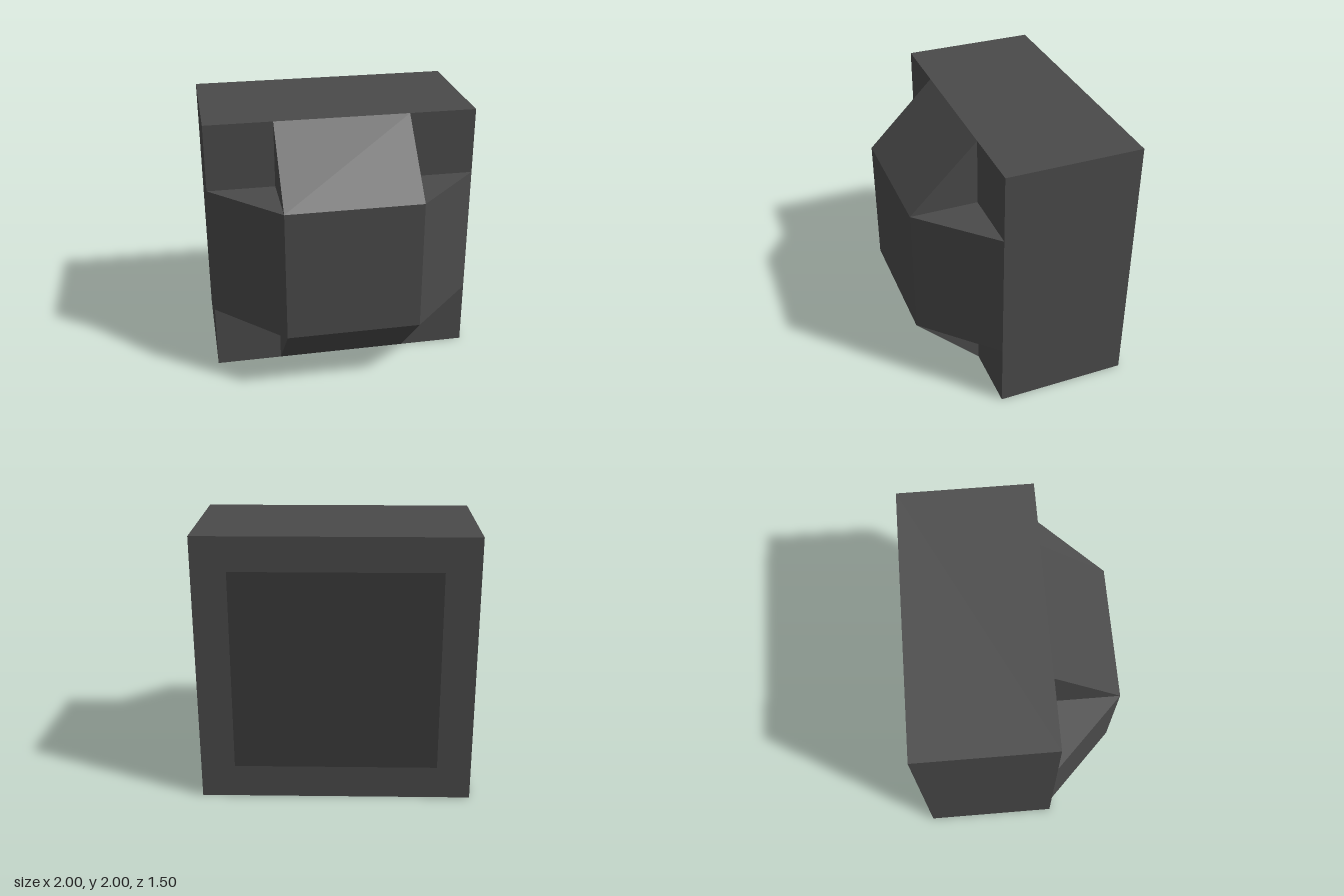
import * as THREE from 'three';

const shell = new THREE.MeshStandardMaterial({ color: 0x4a4a4a, flatShading: true });
const dark = new THREE.MeshStandardMaterial({ color: 0x3b3b3b, flatShading: true });

function add(group, name, geometry, material) {
  const mesh = new THREE.Mesh(geometry, material);
  mesh.name = name;
  group.add(mesh);
  return mesh;
}

// Prism of unit length from a flat outline
function prism(points) {
  const shape = new THREE.Shape(points.map(([x, y]) => new THREE.Vector2(x, y)));
  return new THREE.ExtrudeGeometry(shape, { depth: 1, bevelEnabled: false });
}

export function createModel() {
  const group = new THREE.Group();
  group.name = 'bevelledBlock';

  // Main box
  add(group, 'body', new THREE.BoxGeometry(2, 2, 1).translate(0, 1, -0.25), shell);

  // Raised front block, sloping to the top and bottom edges; outline in (z, y)
  const front = prism([[0.25, 0], [0.75, 0.5], [0.75, 1.5], [0.25, 2]]);
  add(group, 'frontBlock', front.rotateY(-Math.PI / 2).translate(0.5, 0, 0), shell);

  // Side ramps, sloping to the left and right edges; outline in (x, z)
  for (const [name, s] of [['leftRamp', 1], ['rightRamp', -1]]) {
    const ramp = prism([[s * 0.5, 0.25], [s, 0.25], [s * 0.5, 0.75]]);
    add(group, name, ramp.rotateX(Math.PI / 2).translate(0, 1.5, 0), shell);
  }

  // Dark square on the back
  const panel = new THREE.PlaneGeometry(1.5, 1.5).rotateY(Math.PI);
  add(group, 'backPanel', panel.translate(0, 1, -0.751), dark);

  return group;
}
